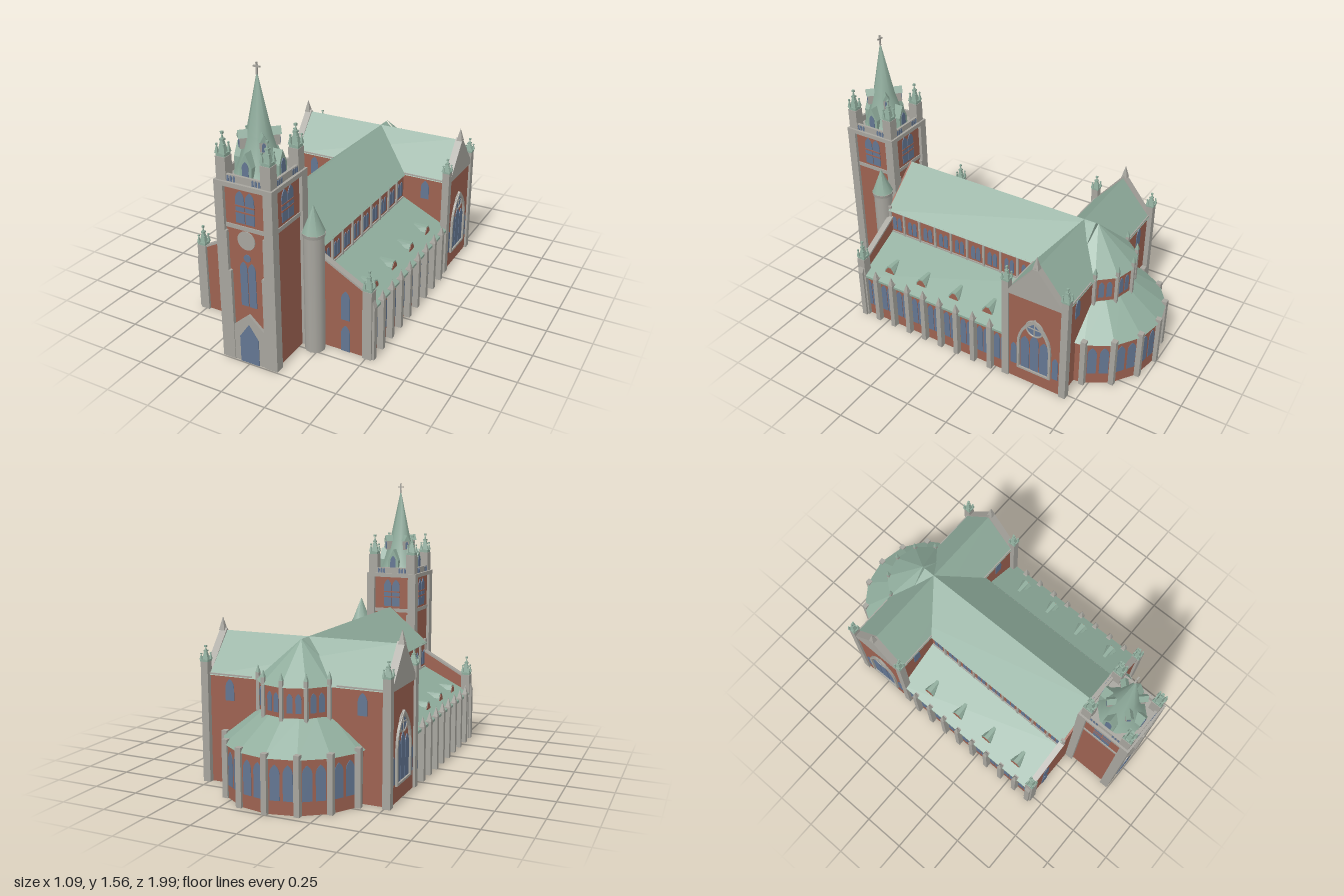
import * as THREE from 'three';

const mat = (name, color, side = THREE.FrontSide) => {
  const m = new THREE.MeshStandardMaterial({ color, side });
  m.name = name;
  return m;
};

export function createModel() {
  const brick = mat('brick', 0x9d6251, THREE.DoubleSide);
  const stone = mat('stone', 0xa7a59e);
  const roof = mat('copperRoof', 0x8fac9c);
  const glass = mat('glass', 0x637692);
  const model = new THREE.Group();
  model.name = 'church';

  const add = (name, geo, m, x = 0, y = 0, z = 0, ry = 0) => {
    const mesh = new THREE.Mesh(geo, m);
    mesh.name = name;
    mesh.position.set(x, y, z);
    mesh.rotation.y = ry;
    model.add(mesh);
    return mesh;
  };
  const facet = (geo) => {
    const g = geo.toNonIndexed();
    g.computeVertexNormals();
    return g;
  };
  // remove one face group, used to leave walls open at the ground
  const dropGroup = (geo, i) => {
    const { start, count } = geo.groups[i], idx = Array.from(geo.index.array);
    idx.splice(start, count);
    geo.setIndex(idx);
    geo.clearGroups();
    return geo;
  };
  // box standing on height y
  const box = (name, m, w, h, d, x, y, z, ry = 0) =>
    add(name, new THREE.BoxGeometry(w, h, d), m, x, y + h / 2, z, ry);
  const shell = (name, w, h, d, x, z) =>
    add(name, dropGroup(new THREE.BoxGeometry(w, h, d), 3), brick, x, h / 2, z);
  const extrude = (shape, depth) =>
    new THREE.ExtrudeGeometry(shape, { depth, bevelEnabled: false, curveSegments: 6 });
  const poly = (pts) => new THREE.Shape(pts.map(([a, b]) => new THREE.Vector2(a, b)));
  // outline in x,y running from z0 to z1
  const prismZ = (name, m, pts, z0, z1) => add(name, extrude(poly(pts), z1 - z0), m, 0, 0, z0);
  // symmetric outline in z,y centred on zc and running from x0 to x1
  const prismX = (name, m, pts, x0, x1, zc) =>
    add(name, extrude(poly(pts), x1 - x0), m, x0, 0, zc, Math.PI / 2);
  const pyramid = (name, m, w, h, x, y, z) =>
    add(name, facet(new THREE.ConeGeometry(w * Math.SQRT1_2, h, 4).rotateY(Math.PI / 4)), m, x, y + h / 2, z);

  const arch = (w, h) => {
    const s = new THREE.Shape(), a = Math.min(w * 0.95, h * 0.6);
    s.moveTo(-w / 2, 0);
    s.lineTo(w / 2, 0);
    s.lineTo(w / 2, h - a);
    s.quadraticCurveTo(w / 2, h - a * 0.4, 0, h);
    s.quadraticCurveTo(-w / 2, h - a * 0.4, -w / 2, h - a);
    return s;
  };
  // pointed window plate on a wall that faces direction ry, shifted sideways by off
  const lancet = (w, h, x, y, z, ry = 0, off = 0) =>
    add('window', extrude(arch(w, h), 0.005), glass, x + Math.cos(ry) * off, y, z - Math.sin(ry) * off, ry);
  const pair = (w, h, x, y, z, ry, gap) =>
    [-1, 1].forEach((s) => lancet(w, h, x, y, z, ry, s * gap));

  // green pinnacle with knobbed corner spikes
  const pinnacle = (x, y, z, w, h) => {
    box('pinnacleCollar', roof, w, h * 0.14, w, x, y, z);
    pyramid('pinnacleSpire', roof, w * 0.75, h * 0.85, x, y + h * 0.1, z);
    for (const a of [-1, 1]) for (const b of [-1, 1]) {
      const sx = x + a * w * 0.4, sz = z + b * w * 0.4;
      pyramid('pinnacleSpike', roof, w * 0.36, h * 0.42, sx, y + h * 0.12, sz);
      box('pinnacleSpikeKnob', roof, w * 0.18, h * 0.07, w * 0.18, sx, y + h * 0.46, sz);
    }
    box('pinnacleCrocket', roof, w * 0.42, h * 0.08, w * 0.42, x, y + h * 0.62, z);
    box('pinnacleKnob', roof, w * 0.26, h * 0.1, w * 0.26, x, y + h * 0.9, z);
  };

  // Nave
  shell('naveWalls', 0.47, 0.58, 1.0, 0, 0.16);
  prismZ('naveRoof', roof, [[-0.25, 0.58], [0.25, 0.58], [0, 0.79]], -0.57, 0.66);
  prismZ('naveGable', brick, [[-0.24, 0.4], [0.24, 0.4], [0.24, 0.585], [0, 0.79], [-0.24, 0.585]], 0.655, 0.67);

  const bay = 0.1115;
  for (const s of [1, -1]) {
    const ry = s * Math.PI / 2;
    const mx = (pts) => pts.map(([x, y]) => [x * s, y]);
    // Aisles
    shell('aisleWalls', 0.275, 0.28, 0.99, s * 0.3725, 0.165);
    prismZ('aisleRoof', roof, mx([[0.53, 0.276], [0.53, 0.29], [0.23, 0.435], [0.23, 0.283], [0.51, 0.283]]), -0.33, 0.655);
    prismZ('aisleFront', brick, mx([[0.1, 0], [0.49, 0], [0.49, 0.39], [0.235, 0.53], [0.1, 0.53]]), 0.65, 0.67);
    prismZ('aisleCoping', stone, mx([[0.49, 0.385], [0.49, 0.397], [0.235, 0.537], [0.235, 0.525]]), 0.64, 0.675);
    box('aisleEave', stone, 0.012, 0.014, 0.98, s * 0.514, 0.27, 0.165);
    box('clerestoryEave', stone, 0.015, 0.01, 0.98, s * 0.238, 0.574, 0.165);
    box('clerestorySill', stone, 0.012, 0.012, 0.98, s * 0.236, 0.425, 0.165);
    box('naveCornerPier', stone, 0.014, 0.08, 0.025, s * 0.235, 0.525, 0.66);
    lancet(0.05, 0.155, s * 0.378, 0, 0.669);
    lancet(0.05, 0.17, s * 0.378, 0.19, 0.669);
    box('frontPier', stone, 0.052, 0.4, 0.05, s * 0.506, 0, 0.66);
    prismZ('frontPierButtress', stone, mx([[0.5, 0], [0.545, 0], [0.545, 0.31], [0.53, 0.35], [0.5, 0.35]]), 0.645, 0.675);
    pinnacle(s * 0.506, 0.4, 0.66, 0.046, 0.11);
    for (let i = 0; i < 9; i++) {
      const z = 0.612 - i * bay;
      pair(0.036, 0.18, s * 0.508, 0.07, z, ry, 0.021);
      pair(0.026, 0.09, s * 0.233, 0.45, z, ry, 0.017);
      if (i === 8) continue;
      const b = z - bay / 2;
      box('aisleButtress', stone, 0.045, 0.3, 0.028, s * 0.5225, 0, b);
      pyramid('aisleButtressCap', stone, 0.028, 0.055, s * 0.531, 0.3, b);
      box('clerestoryPilaster', stone, 0.014, 0.15, 0.012, s * 0.238, 0.425, b);
    }
    // Aisle roof dormers, tapering toward the nave
    for (const z of [0.505, 0.28, 0.055, -0.168]) {
      const g = extrude(poly([[-0.042, 0.3], [0.042, 0.3], [0.032, 0.335], [0.014, 0.362], [-0.014, 0.362], [-0.032, 0.335]]), 0.09);
      const p = g.attributes.position;
      for (let i = 0; i < p.count; i++) if (p.getZ(i) < 0.01) p.setX(i, p.getX(i) * 0.6);
      g.computeVertexNormals();
      add('dormerRoof', g, roof, s * 0.376, 0, z, ry);
      add('dormerFace', extrude(poly([[-0.036, 0.3], [0.036, 0.3], [0.026, 0.332], [0.01, 0.355], [-0.01, 0.355], [-0.026, 0.332]]), 0.003),
        brick, s * 0.466, 0, z, ry);
    }

    // Transept end: stone gable, great window and corner piers
    const gx = s > 0 ? 0.488 : -0.53;
    prismX('transeptGable', stone, [[-0.18, 0.58], [0.18, 0.58], [0, 0.802]], gx, gx + 0.042, -0.5);
    pyramid('gableFinial', stone, 0.034, 0.075, s * 0.514, 0.788, -0.5);
    const frame = arch(0.205, 0.37);
    frame.holes.push(new THREE.Path(arch(0.178, 0.335).getPoints(6).map((v) => v.add(new THREE.Vector2(0, 0.012)))));
    add('greatWindowFrame', extrude(frame, 0.018), stone, s * 0.515, 0.088, -0.5, ry);
    for (const o of [-0.058, 0, 0.058]) lancet(0.052, o ? 0.22 : 0.245, s * 0.519, 0.1, -0.5, ry, o);
    add('roseGlass', new THREE.CylinderGeometry(0.049, 0.049, 0.006, 24).rotateZ(Math.PI / 2), glass, s * 0.521, 0.395, -0.5);
    add('roseRing', new THREE.TorusGeometry(0.05, 0.006, 5, 24), stone, s * 0.523, 0.395, -0.5, ry);
    box('roseBar', stone, 0.008, 0.1, 0.006, s * 0.523, 0.345, -0.5);
    box('roseBar', stone, 0.008, 0.006, 0.1, s * 0.523, 0.392, -0.5);
    for (const o of [-0.128, 0.128]) lancet(0.034, 0.145, s * 0.519, 0.1, -0.5, ry, o);
    for (const z of [-0.322, -0.678]) {
      box('transeptPier', stone, 0.042, 0.65, 0.04, s * 0.512, 0, z);
      pinnacle(s * 0.512, 0.65, z, 0.044, 0.085);
    }
    lancet(0.05, 0.115, s * 0.375, 0.45, -0.331);
    lancet(0.05, 0.115, s * 0.375, 0.45, -0.669, Math.PI);
    box('transeptEave', stone, 0.26, 0.012, 0.012, s * 0.37, 0.579, -0.327);
    box('transeptEave', stone, 0.26, 0.012, 0.012, s * 0.37, 0.579, -0.673);
  }

  // Transept
  shell('transeptWalls', 1.04, 0.585, 0.34, 0, -0.5);
  prismX('transeptRoof', roof, [[-0.182, 0.58], [0.182, 0.58], [0, 0.79]], -0.489, 0.489, -0.5);

  // Apse: lower ambulatory and upper choir, each an arc of flat facets
  const ac = -0.585, lowStep = 23.4 * Math.PI / 180, topStep = 32.5 * Math.PI / 180;
  const ring = (name, m, r0, r1, y0, y1, n, step) => {
    const g = new THREE.CylinderGeometry(r1, r0, y1 - y0, n, 1, false, Math.PI - n * step / 2, n * step);
    add(name, facet(dropGroup(g, 2)), m, 0, (y0 + y1) / 2, ac);
  };
  ring('ambulatoryWall', brick, 0.395, 0.395, 0, 0.28, 8, lowStep);
  ring('ambulatoryRoof', roof, 0.408, 0.215, 0.28, 0.43, 8, lowStep);
  ring('choirWall', brick, 0.217, 0.217, 0.4, 0.59, 6, topStep);
  ring('choirRoof', roof, 0.232, 0.001, 0.585, 0.79, 6, topStep);
  const around = (step, count, r, fn) => {
    for (let i = -count; i <= count; i++) {
      const t = Math.PI + i * step, m = t + step / 2, a = r * Math.cos(step / 2) - 0.002;
      fn(Math.sin(t), Math.cos(t), Math.sin(m) * a, ac + Math.cos(m) * a, m, i);
    }
  };
  around(lowStep, 3, 0.395, (sx, sz, wx, wz, m, i) => {
    box('apseButtress', stone, 0.03, 0.305, 0.03, sx * 0.4, 0, ac + sz * 0.4);
    if (i < 3) pair(0.05, 0.18, wx, 0.07, wz, m, 0.033);
  });
  around(topStep, 2, 0.217, (sx, sz, wx, wz, m, i) => {
    box('choirPilaster', stone, 0.018, 0.22, 0.018, sx * 0.222, 0.4, ac + sz * 0.222);
    pyramid('choirPilasterCap', roof, 0.02, 0.04, sx * 0.222, 0.62, ac + sz * 0.222);
    if (i < 2) pair(0.03, 0.1, wx, 0.455, wz, m, 0.022);
  });

  // Tower shaft with stepped corner piers
  const tz = 0.83;
  shell('towerCore', 0.29, 0.985, 0.29, 0, tz);
  for (const a of [-1, 1]) for (const b of [-1, 1]) {
    for (const [w, y0, y1] of [[0.073, 0, 0.52], [0.06, 0.52, 0.74], [0.05, 0.74, 0.98]])
      box('towerPier', stone, w, y1 - y0, 0.052, a * (0.163 - w / 2), y0, tz + b * 0.138);
    box('towerTurret', stone, 0.056, 0.12, 0.056, a * 0.125, 1, tz + b * 0.125);
    pinnacle(a * 0.125, 1.12, tz + b * 0.125, 0.05, 0.12);
  }
  box('towerBand', stone, 0.3, 0.022, 0.3, 0, 0.756, tz);
  box('towerCornice', stone, 0.328, 0.024, 0.328, 0, 0.978, tz);

  // Portal, tall window and round dial
  prismZ('portal', stone, [[-0.092, 0], [0.092, 0], [0.092, 0.205], [0, 0.287], [-0.092, 0.205]], 0.96, 0.99);
  add('door', extrude(poly([[-0.055, 0], [0.055, 0], [0.055, 0.15], [0, 0.23], [-0.055, 0.15]]), 0.005), glass, 0, 0, 0.989);
  pair(0.042, 0.25, 0, 0.33, 0.974, 0, 0.024);
  add('roundLight', new THREE.CylinderGeometry(0.02, 0.02, 0.006, 16).rotateX(Math.PI / 2), glass, 0, 0.605, 0.976);
  add('dial', new THREE.CylinderGeometry(0.05, 0.05, 0.008, 24).rotateX(Math.PI / 2), stone, 0, 0.702, 0.976);

  // Belfry, parapet and gabled dormers on every tower side
  for (let k = 0; k < 4; k++) {
    const ry = k * Math.PI / 2, dx = Math.sin(ry), dz = Math.cos(ry);
    const at = (r) => [dx * r, tz + dz * r];
    let [x, z] = at(0.144);
    pair(0.05, 0.17, x, 0.792, z, ry, 0.028);
    for (const y of [0.848, 0.88]) box('belfryBar', brick, 0.11, 0.008, 0.014, x, y, z, ry);
    [x, z] = at(0.142);
    box('parapet', stone, 0.2, 0.038, 0.014, x, 1, z, ry);
    [x, z] = at(0.146);
    for (const o of [-0.088, -0.07, -0.052, 0.052, 0.07, 0.088]) lancet(0.012, 0.032, x, 1.003, z, ry, o);
    [x, z] = at(0.05);
    add('spireDormer', extrude(poly([[-0.034, 1], [0.034, 1], [0.034, 1.08], [0, 1.15], [-0.034, 1.08]]), 0.078), roof, x, 0, z, ry);
    [x, z] = at(0.126);
    lancet(0.036, 0.085, x, 1.025, z, ry);
    // small diagonal dormers higher up
    const d = ry + Math.PI / 4, ex = Math.sin(d), ez = Math.cos(d);
    box('upperDormer', stone, 0.03, 0.06, 0.06, ex * 0.068, 1.145, tz + ez * 0.068, d);
    add('upperDormerRoof', extrude(poly([[-0.021, 1.2], [0.021, 1.2], [0, 1.237]]), 0.07), roof, ex * 0.035, 0, tz + ez * 0.035, d);
    lancet(0.018, 0.045, ex * 0.096, 1.152, tz + ez * 0.096, d);
  }

  // Spire and cross
  const profile = [[0.135, 1], [0.108, 1.06], [0.064, 1.21], [0.001, 1.515]].map(([r, y]) => new THREE.Vector2(r, y));
  add('spire', new THREE.LatheGeometry(profile, 8, Math.PI / 8), roof, 0, 0, tz);
  box('crossUpright', stone, 0.008, 0.06, 0.008, 0, 1.5, tz);
  box('crossArm', stone, 0.038, 0.008, 0.008, 0, 1.535, tz);

  // Stair turret
  add('stairTurret', new THREE.CylinderGeometry(0.054, 0.054, 0.67, 12), stone, 0.222, 0.335, 0.715);
  add('stairTurretCollar', new THREE.CylinderGeometry(0.062, 0.058, 0.02, 12), stone, 0.222, 0.675, 0.715);
  add('stairTurretRoof', new THREE.ConeGeometry(0.062, 0.15, 8), roof, 0.222, 0.758, 0.715);

  return model;
}
